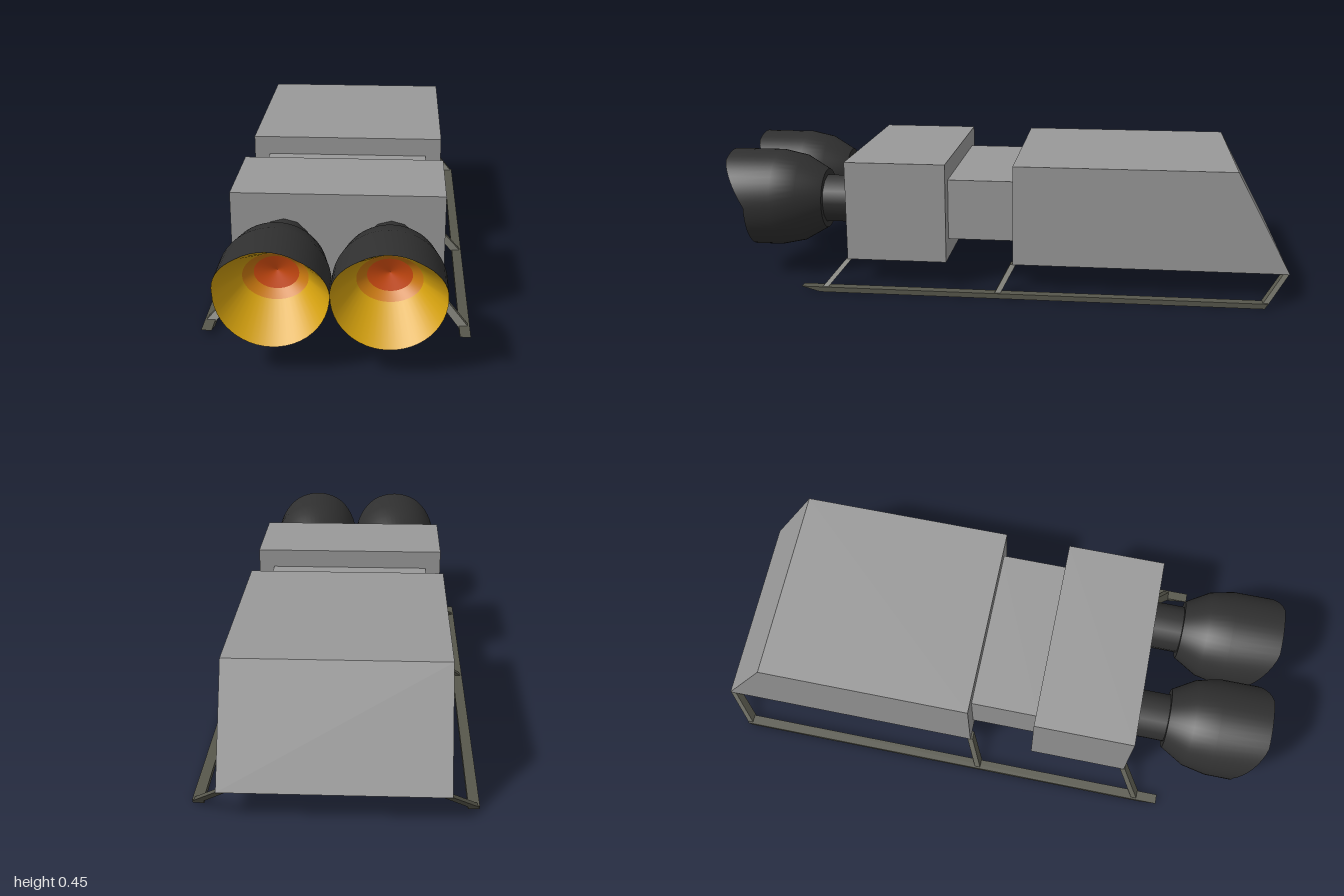
import * as THREE from 'three';

const mat = (name, color) => Object.assign(new THREE.MeshStandardMaterial({ color }), { name });

// Box between a bottom and a top rectangle, each [x0, x1, z0, z1]
function prism(bottom, y0, top, y1) {
  const g = new THREE.BoxGeometry(1, 1, 1);
  const p = g.attributes.position;
  for (let i = 0; i < p.count; i++) {
    const up = p.getY(i) > 0;
    const r = up ? top : bottom;
    p.setXYZ(i, r[p.getX(i) > 0 ? 1 : 0], up ? y1 : y0, r[p.getZ(i) > 0 ? 3 : 2]);
  }
  g.computeVertexNormals();
  return g;
}

// Surface through closed rings [rx, ry, z], where z may be a function of height
function ringSurface(rings, n = 48) {
  const pos = [], idx = [];
  rings.forEach(([rx, ry, z], j) => {
    for (let i = 0; i < n; i++) {
      const a = (i / n) * Math.PI * 2;
      const y = Math.sin(a) * ry;
      pos.push(Math.cos(a) * rx, y, typeof z === 'function' ? z(y) : z);
      if (j === rings.length - 1) continue;
      const A = j * n + i, B = j * n + (i + 1) % n;
      idx.push(A, B, A + n, B, B + n, A + n);
    }
  });
  const g = new THREE.BufferGeometry();
  g.setAttribute('position', new THREE.Float32BufferAttribute(pos, 3));
  g.setIndex(idx);
  g.computeVertexNormals();
  return g;
}

export function createModel() {
  const root = new THREE.Group();
  root.name = 'twinEngineSled';
  const grey = mat('hullGrey', 0x999999);
  const black = mat('nozzleBlack', 0x303030);
  const yellow = mat('flameYellow', 0xd6a20e);
  const orange = mat('flameOrange', 0xcc7a10);
  const red = mat('flameRed', 0xcc4a10);
  const metal = mat('skidMetal', 0x57574c);

  const add = (parent, name, geometry, material) => {
    const m = new THREE.Mesh(geometry, material);
    m.name = name;
    parent.add(m);
    return m;
  };

  // Hull blocks
  const lo = 0.095, hi = 0.447, w = 0.352;
  add(root, 'rearHull', prism([-w, w, -1, -0.05], lo, [-w, w, -0.81, -0.05], hi), grey);
  const waist = [-0.295, 0.295, -0.06, 0.19];
  add(root, 'waist', prism(waist, 0.165, waist, 0.38), grey);
  const front = [-w, w, 0.185, 0.54];
  add(root, 'frontHull', prism(front, lo, front, hi), grey);

  // Nozzles with a hooded upper lip
  const R = 0.176;
  const lip = y => 0.915 + 0.085 * THREE.MathUtils.clamp(y / 0.15, 0, 1);
  for (const s of [-1, 1]) {
    const nozzle = new THREE.Group();
    nozzle.name = s > 0 ? 'leftNozzle' : 'rightNozzle';
    nozzle.position.set(s * R, 0.271, 0);
    root.add(nozzle);

    const neck = add(nozzle, 'neck', new THREE.CylinderGeometry(0.088, 0.088, 0.13, 12), black);
    neck.rotation.x = Math.PI / 2;
    neck.position.z = 0.595;

    const back = add(nozzle, 'bellBack', new THREE.CircleGeometry(0.108, 48), black);
    back.rotation.y = Math.PI;
    back.position.z = 0.65;
    add(nozzle, 'bell', ringSurface([
      [0.108, 0.108, 0.65], [0.158, 0.158, 0.735], [R, R, 0.82], [R, R, lip],
    ]), black);

    // Glowing interior, from the lip inward
    add(nozzle, 'innerCone', ringSurface([[R, R, lip], [0.103, 0.078, 0.79]]), yellow);
    add(nozzle, 'glowRing', ringSurface([[0.103, 0.078, 0.79], [0.071, 0.055, 0.76]]), orange);
    add(nozzle, 'glowCore', ringSurface([[0.071, 0.055, 0.76], [0, 0, 0.74]]), red);
  }

  // Skids and splayed struts: [z at skid, z at hull]
  const struts = [['rearStrut', -0.908, -0.988], ['middleStrut', -0.004, -0.052], ['frontStrut', 0.605, 0.535]];
  for (const s of [-1, 1]) {
    const side = new THREE.Group();
    side.name = s > 0 ? 'leftSkid' : 'rightSkid';
    root.add(side);
    const span = (a, b, z0, z1) => (s > 0 ? [a, b, z0, z1] : [-b, -a, z0, z1]);
    add(side, 'runner', prism(span(0.405, 0.44, -0.91, 0.62), 0, span(0.405, 0.44, -0.92, 0.685), 0.018), metal);
    for (const [name, zb, zt] of struts) {
      add(side, name, prism(span(0.405, 0.44, zb - 0.01, zb + 0.01), 0.012,
        span(0.32, 0.351, zt - 0.01, zt + 0.01), 0.096), metal);
    }
  }
  return root;
}
